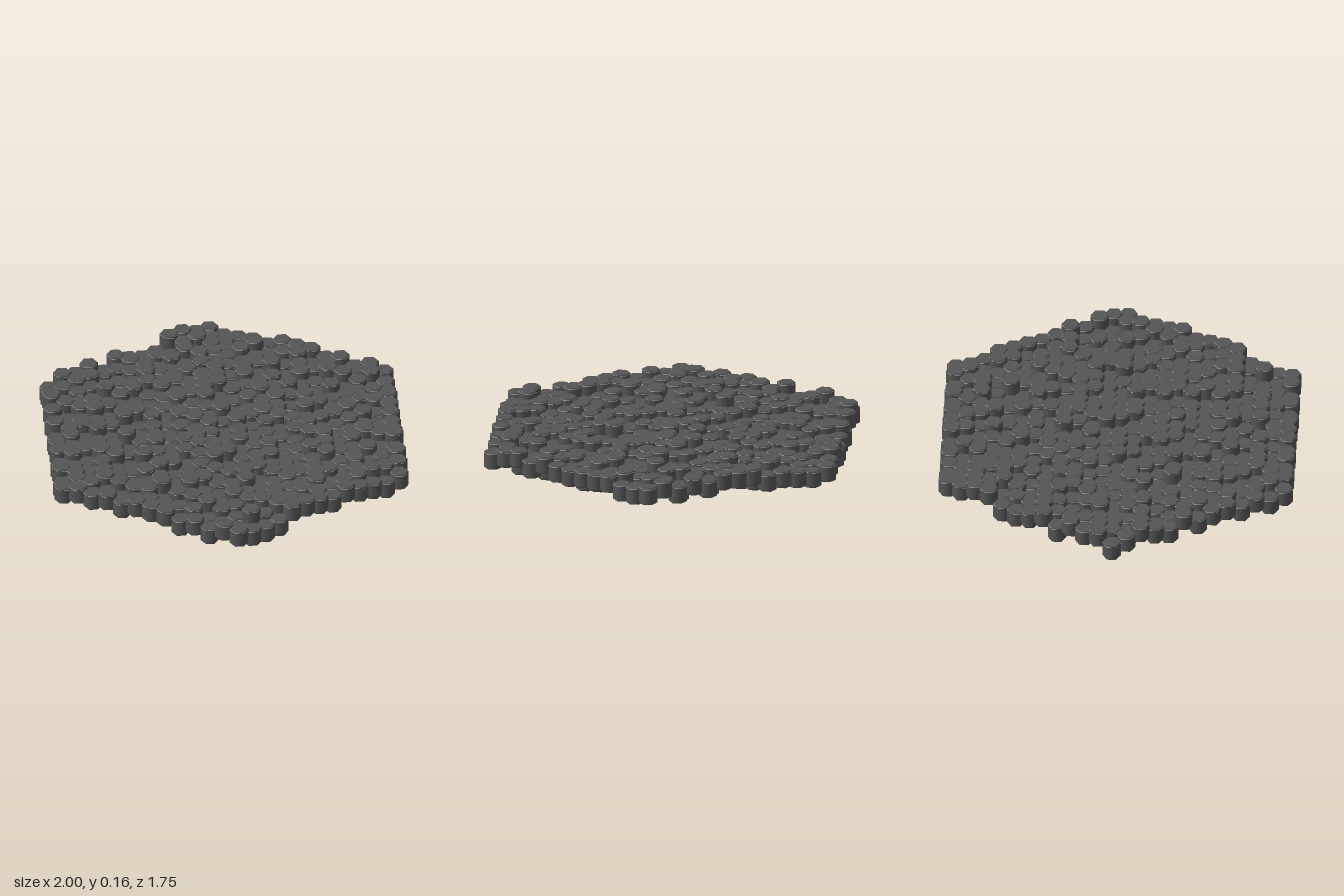
import * as THREE from 'three';
import { mergeGeometries } from 'three/addons/utils/BufferGeometryUtils.js';

const RINGS = 12;                    // tiles from the centre to each corner
const SPACING = 0.08;                // distance between neighbouring tiles
const ROW_STEP = SPACING * Math.sqrt(3) / 2;
const RADIUS = 0.0459;               // centre to tile corner
const HEIGHT = 0.086;
const BEVEL = 0.004;
const SEAM_LOW = 0.077;              // light seam just under the rim
const SEAM_HIGH = 0.079;
const MAX_LIFT = 0.074;              // range of the uneven tile levels

// Seeded random numbers in 0..1
function makeRandom(seed) {
  return () => {
    seed = (seed * 1664525 + 1013904223) >>> 0;
    return seed / 4294967296;
  };
}

// Open six-sided band between two levels
function band(lowRadius, low, highRadius, high) {
  return new THREE.CylinderGeometry(highRadius, lowRadius, high - low, 6, 1, true)
    .translate(0, (low + high) / 2, 0);
}

// Flat six-sided end face, turned up or down
function endFace(y, up) {
  return new THREE.CircleGeometry(RADIUS - BEVEL, 6, Math.PI / 2)
    .rotateX(up ? -Math.PI / 2 : Math.PI / 2)
    .translate(0, y, 0);
}

// Column with bevelled ends, left open at the seam
function hexColumn() {
  return mergeGeometries([
    endFace(0, false),
    band(RADIUS - BEVEL, 0, RADIUS, BEVEL),
    band(RADIUS, BEVEL, RADIUS, SEAM_LOW),
    band(RADIUS, SEAM_HIGH, RADIUS, HEIGHT - BEVEL),
    band(RADIUS, HEIGHT - BEVEL, RADIUS - BEVEL, HEIGHT),
    endFace(HEIGHT, true),
  ]);
}

export function createModel() {
  const model = new THREE.Group();
  model.name = 'hexTileFloor';

  const stone = new THREE.MeshStandardMaterial({ color: 0x555555 });
  stone.name = 'dark grey stone';
  const light = new THREE.MeshStandardMaterial({ color: 0xffffff });
  light.name = 'white seam';

  const columnShape = hexColumn();
  const seamShape = band(RADIUS, SEAM_LOW, RADIUS, SEAM_HIGH);
  const random = makeRandom(7);

  // Rows shorten by one tile for each step away from the middle
  for (let row = -RINGS; row <= RINGS; row++) {
    const group = new THREE.Group();
    group.name = 'tileRow';
    const count = 2 * RINGS + 1 - Math.abs(row);
    for (let i = 0; i < count; i++) {
      const column = new THREE.Mesh(columnShape, stone);
      column.name = 'hexColumn';
      const seam = new THREE.Mesh(seamShape, light);
      seam.name = 'seam';
      const tile = new THREE.Group();
      tile.name = 'hexTile';
      tile.add(column, seam);

      let lift = random() * MAX_LIFT;
      if (row === 0 && i === 0) lift = 0.027;            // right corner tile
      if (row === 0 && i === count - 1) lift = 0.037;    // left corner tile
      if (row === 0 && i === RINGS) lift = 0;            // lowest tile
      if (row === 0 && i === RINGS + 1) lift = MAX_LIFT; // highest tile
      tile.position.set((i - (count - 1) / 2) * SPACING, lift, row * ROW_STEP);
      group.add(tile);
    }
    model.add(group);
  }
  return model;
}
